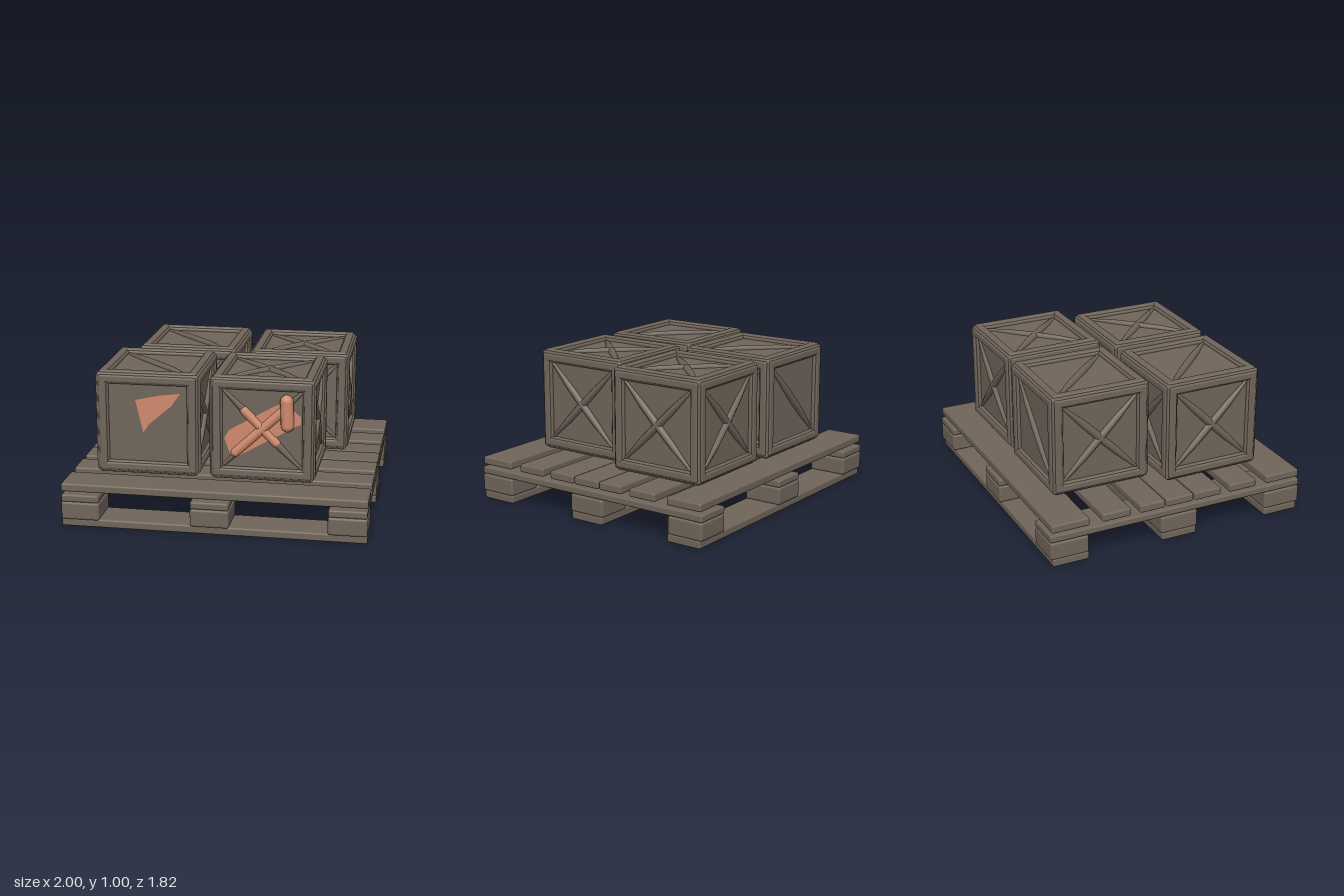
import * as THREE from 'three';
import { RoundedBoxGeometry } from 'three/addons/geometries/RoundedBoxGeometry.js';

export function createModel() {
  const wood = new THREE.MeshStandardMaterial({ color: 0x70655a });
  wood.name = 'weathered brown wood';
  const orange = new THREE.MeshStandardMaterial({ color: 0xd08a6c });
  orange.name = 'faded orange';

  const model = new THREE.Group();
  model.name = 'cratesOnPallet';

  function add(parent, name, geometry, material, x, y, z) {
    const mesh = new THREE.Mesh(geometry, material);
    mesh.name = name;
    mesh.position.set(x, y, z);
    parent.add(mesh);
    return mesh;
  }
  function board(parent, name, w, h, d, x, y, z, r = 0.012) {
    return add(parent, name, new RoundedBoxGeometry(w, h, d, 2, r), wood, x, y, z);
  }

  // Pallet: runners, blocks, cross boards and deck planks
  const pallet = new THREE.Group();
  pallet.name = 'pallet';
  model.add(pallet);
  const columns = [[-0.873, 0.254], [-0.018, 0.255], [0.873, 0.254]];
  for (const z of [-0.77, 0, 0.77]) {
    board(pallet, 'runner', 2, 0.055, 0.25, 0, 0.0275, z);
    for (const [x, w] of columns) board(pallet, 'block', w, 0.12, 0.265, x, 0.11, z + Math.sign(z) * 0.008, 0.016);
  }
  for (const [x, w] of columns) board(pallet, 'crossBoard', w - 0.005, 0.05, 1.82, x, 0.196, 0);
  const deck = [[-0.9, -0.64], [-0.55, -0.35], [-0.285, -0.105], [-0.095, 0.1], [0.11, 0.305], [0.37, 0.57], [0.65, 0.9]];
  for (const [a, b] of deck) board(pallet, 'deckPlank', 2, 0.055, b - a, 0, 0.266, (a + b) / 2);

  // Tapered diagonal brace, half sunk in its panel
  const braceProfile = [[0, -0.38], [0.009, -0.37], [0.024, -0.17], [0.027, 0], [0.024, 0.17], [0.009, 0.37], [0, 0.38]];
  const braceGeometry = new THREE.LatheGeometry(braceProfile.map(([x, y]) => new THREE.Vector2(x, y)), 8);

  const beamGeometry = new RoundedBoxGeometry(0.672, 0.075, 0.075, 2, 0.014);
  const rimGeometry = new RoundedBoxGeometry(0.645, 0.05, 0.05, 2, 0.012);
  const half = Math.PI / 2;
  const faces = {
    front: [0, 0], right: [0, half], back: [0, Math.PI], left: [0, -half], top: [-half, 0], bottom: [half, 0],
  };

  // Crate: core panels, twelve edge beams, then a rim and braces on each face
  // Brace codes: 0 none, 1 falling diagonal, 2 rising diagonal, 3 both
  function crate(x, z, turn, braces) {
    const g = new THREE.Group();
    g.name = 'crate';
    g.position.set(x, 0.655, z);
    g.rotation.y = turn;
    model.add(g);
    add(g, 'panels', new THREE.BoxGeometry(0.63, 0.63, 0.63), wood, 0, 0, 0);
    for (const a of [-0.298, 0.298]) for (const b of [-0.298, 0.298]) {
      add(g, 'edgeBeam', beamGeometry, wood, 0, a, b);
      add(g, 'edgeBeam', beamGeometry, wood, a, 0, b).rotation.z = half;
      add(g, 'edgeBeam', beamGeometry, wood, a, b, 0).rotation.y = half;
    }
    for (const [name, [rx, ry]] of Object.entries(faces)) {
      const face = new THREE.Group();
      face.name = name + 'Face';
      face.rotation.set(rx, ry, 0);
      g.add(face);
      for (const s of [-1, 1]) {
        add(face, 'rim', rimGeometry, wood, 0, s * 0.297, 0.322);
        add(face, 'rim', rimGeometry, wood, s * 0.297, 0, 0.322).rotation.z = half;
      }
      const code = braces[name] ?? 3;
      if (code & 1) add(face, 'brace', braceGeometry, wood, 0, 0, 0.315).rotation.z = half / 2;
      if (code & 2) add(face, 'brace', braceGeometry, wood, 0, 0, 0.315).rotation.z = -half / 2;
    }
  }
  crate(-0.47, 0.335, 0.006, { front: 0, top: 1 });
  crate(0.29, 0.343, -0.005, {});
  crate(-0.345, -0.405, -0.008, { top: 1, back: 1 });
  crate(0.43, -0.385, 0.008, {});

  // Orange patches on the two front panels
  function patch(points, z) {
    const shape = new THREE.Shape(points.map(([x, y]) => new THREE.Vector2(x, y)));
    add(model, 'orangePatch', new THREE.ShapeGeometry(shape), orange, 0, 0, z);
  }
  patch([[-0.55, 0.81], [-0.5, 0.59], [-0.46, 0.65], [-0.39, 0.71], [-0.31, 0.78], [-0.25, 0.865], [-0.4, 0.845]], 0.656);
  patch([[0.04, 0.585], [0.08, 0.475], [0.12, 0.46], [0.5, 0.68], [0.54, 0.7], [0.54, 0.75], [0.42, 0.84], [0.36, 0.81], [0.07, 0.64]], 0.664);

  // Orange bars lying over the braces, and the upright grip
  function bar(name, a, b, z, r) {
    const dx = b[0] - a[0], dy = b[1] - a[1];
    const geometry = new THREE.CapsuleGeometry(r, Math.hypot(dx, dy) - 2 * r, 4, 12);
    add(model, name, geometry, orange, (a[0] + b[0]) / 2, (a[1] + b[1]) / 2, z).rotation.z = -Math.atan2(dx, dy);
  }
  bar('orangeBar', [0.09, 0.47], [0.46, 0.82], 0.66, 0.031);
  bar('orangeCrossBar', [0.15, 0.795], [0.4, 0.545], 0.658, 0.029);
  bar('orangeGrip', [0.455, 0.65], [0.445, 0.895], 0.675, 0.043);

  return model;
}
